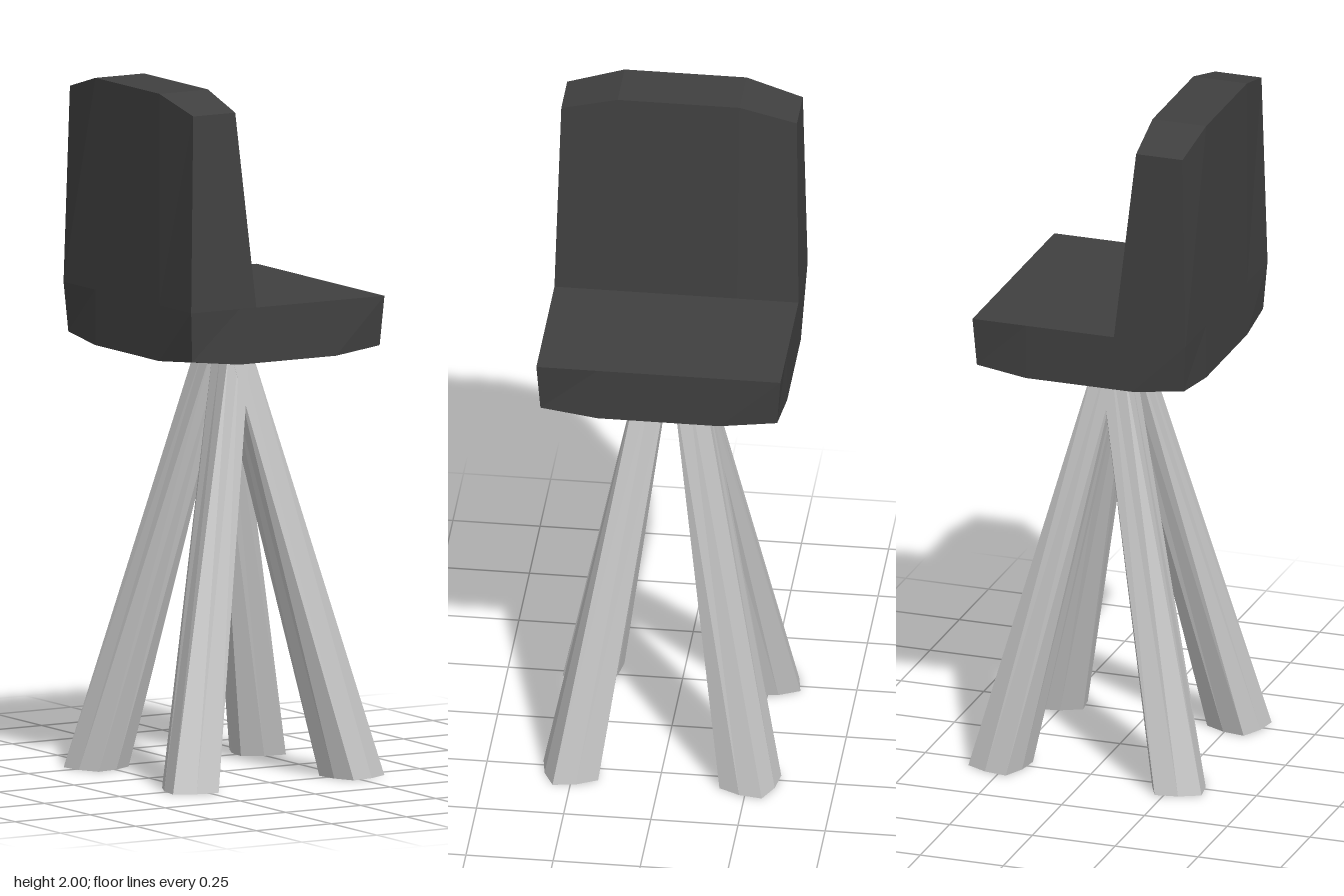
import * as THREE from 'three';

const seatMaterial = new THREE.MeshStandardMaterial({ color: 0x404040 });
seatMaterial.name = 'charcoal';
const legMaterial = new THREE.MeshStandardMaterial({ color: 0xc4c4c4 });
legMaterial.name = 'lightGrey';

function flatMesh(name, geometry, material) {
  const g = geometry.index ? geometry.toNonIndexed() : geometry;
  g.computeVertexNormals();
  const mesh = new THREE.Mesh(g, material);
  mesh.name = name;
  return mesh;
}

// Moves every vertex of a geometry by a rule
function reshape(geometry, rule) {
  const p = geometry.attributes.position;
  for (let i = 0; i < p.count; i++) p.setXYZ(i, ...rule(p.getX(i), p.getY(i), p.getZ(i)));
  return geometry;
}

// Cushion: flat top, lower corners drawn in and lifted
function makeSeat() {
  const box = new THREE.BoxGeometry(1, 1, 1, 4, 1, 4);
  return flatMesh('seat', reshape(box, (x, y, z) => {
    const corner = y < 0 && Math.abs(x) > 0.49 && Math.abs(z) > 0.49;
    const inset = corner ? 0.97 : 1;
    return [x * 0.644 * inset, y > 0 ? 1.39 : corner ? 1.247 : 1.23, z * 0.7 * inset];
  }), seatMaterial);
}

// Backrest: tapers upward, with clipped top corners
function makeBackrest() {
  const box = new THREE.BoxGeometry(1, 1, 1, 1, 1, 4);
  return flatMesh('backrest', reshape(box, (x, y, z) => {
    if (y < 0) return [x < 0 ? -0.322 : -0.105, 1.39, z * 0.7];
    if (Math.abs(z) > 0.49) return [x < 0 ? -0.308 : -0.168, 1.955, Math.sign(z) * 0.338];
    return [x < 0 ? -0.322 : -0.16, 2, z * 0.7];
  }), seatMaterial);
}

// Leg: turned foot with slightly bowed sides, narrowing to a small top
function makeLeg(name, sx, sz) {
  const foot = [[0.352, 0.3], [0.225, 0.341], [0.187, 0.215], [0.312, 0.174]];
  const head = [[0.035, 0.085], [-0.035, 0.085], [-0.035, 0], [0.035, 0]];
  const ring = (pts, y, bow) => {
    const cx = pts.reduce((s, p) => s + p[0], 0) / 4;
    const cz = pts.reduce((s, p) => s + p[1], 0) / 4;
    const centre = [cx * sx, y, cz * sz];
    const points = pts.flatMap((a, i) => {
      const b = pts[(i + 1) % 4];
      const mx = (a[0] + b[0]) / 2, mz = (a[1] + b[1]) / 2;
      const k = bow / Math.hypot(mx - cx, mz - cz);
      return [[a[0] * sx, y, a[1] * sz],
        [(mx + (mx - cx) * k) * sx, y, (mz + (mz - cz) * k) * sz]];
    });
    return { centre, points };
  };
  const low = ring(foot, 0, 0.01), high = ring(head, 1.235, 0);
  const data = [];
  const tri = (a, b, c) => data.push(...a, ...(sx * sz > 0 ? [...b, ...c] : [...c, ...b]));
  for (let i = 0; i < 8; i++) {
    const j = (i + 1) % 8;
    const [bi, bj, ti, tj] = [low.points[i], low.points[j], high.points[i], high.points[j]];
    tri(bi, ti, bj);
    tri(bj, ti, tj);
    tri(low.centre, bi, bj);
    tri(high.centre, tj, ti);
  }
  const g = new THREE.BufferGeometry();
  g.setAttribute('position', new THREE.Float32BufferAttribute(data, 3));
  return flatMesh(name, g, legMaterial);
}

export function createModel() {
  const chair = new THREE.Group();
  chair.name = 'chair';
  chair.add(makeSeat(), makeBackrest());
  for (const sx of [1, -1]) {
    for (const sz of [1, -1]) {
      chair.add(makeLeg((sz > 0 ? 'front' : 'back') + (sx > 0 ? 'Left' : 'Right') + 'Leg', sx, sz));
    }
  }
  return chair;
}
